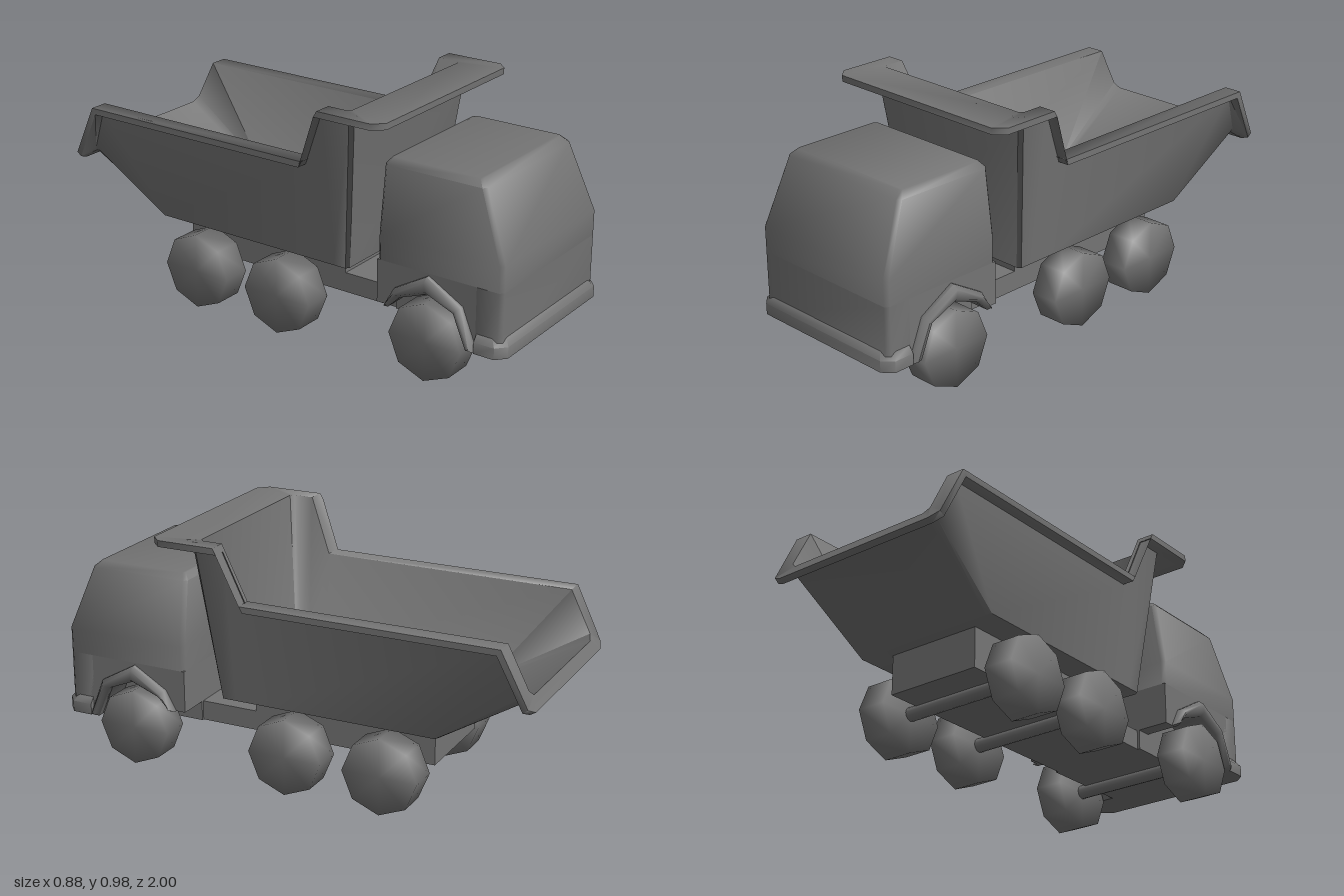
import * as THREE from 'three';
import { mergeVertices, toCreasedNormals } from 'three/addons/utils/BufferGeometryUtils.js';

const material = new THREE.MeshStandardMaterial({ color: 0x747474 });

function add(group, name, geometry, x = 0, y = 0, z = 0) {
  const mesh = new THREE.Mesh(geometry, material);
  mesh.name = name;
  mesh.position.set(x, y, z);
  group.add(mesh);
}

// Skins a stack of mirrored rings; each ring lists its +x half from front to back.
function loft(halves, crease = 1) {
  const rings = halves.map((h) => [...h, ...h.map(([x, y, z]) => [-x, y, z]).reverse()]
    .map((p) => new THREE.Vector3(...p)));
  const n = rings[0].length;
  const pos = [];
  const tri = (a, b, c) => {
    const area = b.clone().sub(a).cross(c.clone().sub(a)).length();
    if (area > 1e-7) for (const p of [a, b, c]) pos.push(p.x, p.y, p.z);
  };
  const quad = (a, b, c, d) => { tri(a, b, c); tri(a, c, d); };
  for (let r = 0; r < rings.length - 1; r++) {
    for (let i = 0; i < n; i++) {
      const j = (i + 1) % n;
      quad(rings[r][i], rings[r][j], rings[r + 1][j], rings[r + 1][i]);
    }
  }
  const first = rings[0], last = rings[rings.length - 1];
  for (let k = 0; k < n / 2 - 1; k++) {
    quad(first[n - 1 - k], first[n - 2 - k], first[k + 1], first[k]);
    quad(last[k], last[k + 1], last[n - 2 - k], last[n - 1 - k]);
  }
  const g = new THREE.BufferGeometry();
  g.setAttribute('position', new THREE.Float32BufferAttribute(pos, 3));
  return toCreasedNormals(g, crease);
}

// Half of a rectangle with cut corners.
const cutRect = (w, y, front, back, c) =>
  [[w - c, y, front], [w, y, front - c], [w, y, back + c], [w - c, y, back]];

// Extrudes a (z, y) outline along x, so that it spans x0 to x0 + depth.
function sideExtrude(points, x0, depth, options = {}) {
  const shape = new THREE.Shape(points.map(([z, y]) => new THREE.Vector2(z, y)));
  const g = new THREE.ExtrudeGeometry(shape, { depth, bevelEnabled: false, ...options });
  return toCreasedNormals(g.rotateY(-Math.PI / 2).translate(x0 + depth, 0, 0), 1);
}

function wheelGeometry() {
  const g = new THREE.CylinderGeometry(0.155, 0.155, 0.12, 8).rotateZ(Math.PI / 2);
  g.deleteAttribute('normal');
  g.deleteAttribute('uv');
  const smooth = mergeVertices(g);
  smooth.computeVertexNormals();
  return smooth;
}

function createCab() {
  const cab = new THREE.Group();
  cab.name = 'cab';
  add(cab, 'cabShell', loft([
    cutRect(0.34, 0.42, 0.98, 0.45, 0.015),
    cutRect(0.34, 0.52, 0.98, 0.45, 0.015),
    cutRect(0.305, 0.78, 0.878, 0.45, 0.015),
    cutRect(0.28, 0.805, 0.85, 0.47, 0.01),
  ]));
  add(cab, 'cabNose', loft([0.17, 0.42].map((y) => cutRect(0.34, y, 0.98, 0.86, 0.015))));
  add(cab, 'cabFloor', new THREE.BoxGeometry(0.42, 0.25, 0.52), 0, 0.295, 0.71);

  // Lower flanks with the wheel opening, and the flared arches around it
  const opening = [[0.845, 0.17], [0.79, 0.3], [0.68, 0.345], [0.56, 0.3], [0.51, 0.25]];
  const flank = [[0.45, 0.25], [0.45, 0.42], [0.9, 0.42], [0.9, 0.17], ...opening];
  const arch = [[0.49, 0.25], [0.535, 0.33], [0.675, 0.412], [0.82, 0.33], [0.885, 0.17], ...opening];
  const bevel = { bevelEnabled: true, bevelThickness: 0.02, bevelSize: 0.014, bevelOffset: -0.014, bevelSegments: 1 };
  for (const [side, s] of [['left', 1], ['right', -1]]) {
    add(cab, side + 'Flank', sideExtrude(flank, s > 0 ? 0.2 : -0.34, 0.14));
    add(cab, side + 'WheelArch', sideExtrude(arch, s * 0.3425 - 0.0125, 0.025, bevel));
  }

  const bumper = (y, d) => [[0.32 - d, y, 1 - d], [0.36 - d, y, 0.965 - d], [0.36 - d, y, 0.88], [0.3, y, 0.88]];
  add(cab, 'frontBumper', loft([bumper(0.17, 0), bumper(0.215, 0), bumper(0.24, 0.02)]));
  return cab;
}

// Open tipper body: outer skin, overhanging rim and smooth bowl in one loft
function createTipper() {
  const bottom = [[0.3, 0.33, 0.3], [0.315, 0.33, 0.29], [0.315, 0.33, 0.235], [0.315, 0.33, 0.145],
    [0.315, 0.33, -0.6], [0.315, 0.33, -0.6], [0.295, 0.33, -0.61]];
  const underRim = [[0.375, 0.95, 0.37], [0.388, 0.95, 0.355], [0.388, 0.95, 0.235], [0.365, 0.73, 0.145],
    [0.365, 0.73, -0.865], [0.344, 0.56, -0.935], [0.325, 0.54, -0.945]];
  const rimLower = [[0.4, 0.95, 0.525], [0.44, 0.95, 0.485], [0.44, 0.95, 0.235], [0.412, 0.73, 0.145],
    [0.412, 0.73, -0.865], [0.402, 0.53, -0.965], [0.36, 0.512, -0.978]];
  const rimUpper = [[0.4, 0.975, 0.525], [0.44, 0.975, 0.485], [0.44, 0.975, 0.25], [0.412, 0.755, 0.16],
    [0.412, 0.755, -0.88], [0.402, 0.545, -0.985], [0.36, 0.525, -1]];
  const inner = [[0.355, 0.975, 0.345], [0.368, 0.975, 0.33], [0.368, 0.975, 0.25], [0.342, 0.755, 0.16],
    [0.338, 0.755, -0.88], [0.335, 0.59, -0.963], [0.31, 0.57, -0.973]];
  const floor = [[0.26, 0.365, 0.27], [0.28, 0.365, 0.255], [0.28, 0.365, 0.22], [0.28, 0.365, 0.14],
    [0.28, 0.365, -0.58], [0.28, 0.365, -0.58], [0.26, 0.365, -0.59]];
  return loft([bottom, underRim, rimLower, rimUpper, inner, floor], 1.43);
}

export function createModel() {
  const truck = new THREE.Group();
  truck.name = 'dumpTruck';
  truck.add(createCab());
  add(truck, 'tipperBody', createTipper());

  // Chassis and the raised bed support
  add(truck, 'chassis', new THREE.BoxGeometry(0.4, 0.08, 0.5), 0, 0.21, 0.4);
  add(truck, 'bedSupport', new THREE.BoxGeometry(0.4, 0.16, 0.765), 0, 0.25, -0.173);

  // Axles with a wheel at each end
  const wheel = wheelGeometry();
  const axle = new THREE.CylinderGeometry(0.028, 0.028, 0.5, 12).rotateZ(Math.PI / 2);
  for (const [name, z] of [['front', 0.675], ['middle', 0], ['rear', -0.4]]) {
    add(truck, name + 'Axle', axle, 0, 0.155, z);
    add(truck, name + 'LeftWheel', wheel, 0.305, 0.155, z);
    add(truck, name + 'RightWheel', wheel, -0.305, 0.155, z);
  }
  return truck;
}
